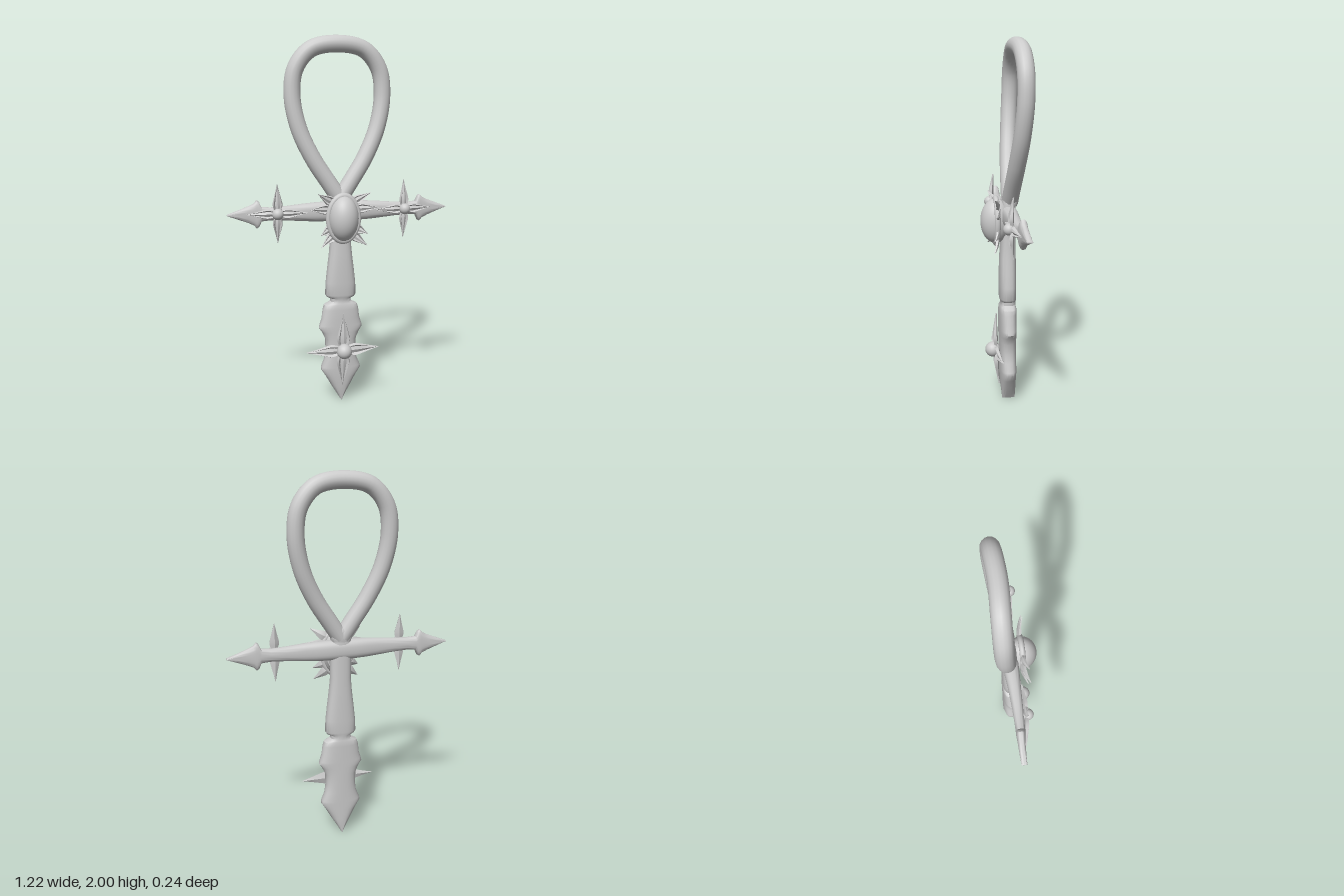
import * as THREE from 'three';
import { toCreasedNormals } from 'three/addons/utils/BufferGeometryUtils.js';

const material = new THREE.MeshStandardMaterial({ color: 0xcccccc });

function add(parent, geometry, name) {
  const mesh = new THREE.Mesh(geometry, material);
  mesh.name = name;
  parent.add(mesh);
  return mesh;
}

// Skin over equal rings of points (counter-clockwise seen from the far end), with capped ends
function loft(rings, crease) {
  const n = rings[0].length, pos = [], idx = [];
  rings.forEach(r => r.forEach(p => pos.push(...p)));
  for (let j = 0; j < rings.length - 1; j++) {
    for (let i = 0; i < n; i++) {
      const a = j * n + i, b = j * n + (i + 1) % n;
      idx.push(a, b, b + n, a, b + n, a + n);
    }
  }
  [0, rings.length - 1].forEach(j => {
    const c = pos.length / 3;
    pos.push(...[0, 1, 2].map(k => rings[j].reduce((s, p) => s + p[k], 0) / n));
    for (let i = 0; i < n; i++) {
      const a = j * n + i, b = j * n + (i + 1) % n;
      if (j) idx.push(a, b, c); else idx.push(b, a, c);
    }
  });
  const g = new THREE.BufferGeometry();
  g.setAttribute('position', new THREE.Float32BufferAttribute(pos, 3));
  g.setIndex(idx);
  return toCreasedNormals(g, crease);
}

// Rounded-box bar along y; rows are [y, half width, back z, front z]
function bar(rows) {
  const power = v => Math.sign(v) * Math.pow(Math.abs(v), 0.75);
  return loft(rows.map(([y, w, back, front]) => Array.from({ length: 28 }, (_, i) => {
    const a = i / 28 * Math.PI * 2;
    return [w * power(Math.cos(a)), y, (back + front) / 2 - (front - back) / 2 * power(Math.sin(a))];
  })), 0.75);
}

// Pointed leaf along +y with raised rims, grooves and a middle ridge
function blade(length, width, depth, bend) {
  const section = [[0, -0.5], [-1, 0.1], [-0.8, 1], [-0.5, 0.3], [0, 0.7], [0.5, 0.3], [0.8, 1], [1, 0.1]];
  const rows = [[0, 0.5], [0.12, 0.7], [0.25, 0.95], [0.35, 1], [0.5, 0.78], [0.7, 0.45], [0.87, 0.2], [1, 0.02]];
  return loft(rows.map(([t, s]) => section.map(([x, z]) =>
    [x * s * width, t * length, z * depth * (0.25 + 0.75 * s) + bend * t * t])), 0.5);
}

// Four blades round a bead
function star(name, vertical, horizontal, width, bead) {
  const g = new THREE.Group();
  g.name = name;
  for (let i = 0; i < 4; i++) {
    add(g, blade(i % 2 ? horizontal : vertical, width, 0.018, -0.008), 'starBlade').rotation.z = i * Math.PI / 2;
  }
  add(g, new THREE.SphereGeometry(bead, 20, 14), 'starBead').position.z = bead * 0.5;
  return g;
}

export function createModel() {
  const model = new THREE.Group();
  model.name = 'loopedCross';

  // Shaft with a narrow collar and a pointed foot
  add(model, bar([
    [0.005, 0.004, -0.068, 0.004], [0.04, 0.025, -0.069, 0.008], [0.09, 0.055, -0.07, 0.014],
    [0.14, 0.083, -0.07, 0.018], [0.185, 0.112, -0.07, 0.02], [0.2, 0.11, -0.07, 0.02],
    [0.25, 0.09, -0.07, 0.021], [0.3, 0.084, -0.07, 0.021], [0.36, 0.087, -0.07, 0.021],
    [0.4, 0.105, -0.07, 0.022], [0.425, 0.122, -0.07, 0.022], [0.44, 0.119, -0.07, 0.022],
    [0.48, 0.106, -0.07, 0.022], [0.53, 0.1, -0.07, 0.022], [0.555, 0.092, -0.07, 0.02],
    [0.565, 0.072, -0.068, 0.017], [0.574, 0.056, -0.067, 0.015], [0.592, 0.056, -0.067, 0.015],
    [0.6, 0.076, -0.068, 0.018], [0.612, 0.085, -0.069, 0.02], [0.68, 0.082, -0.069, 0.021],
    [0.76, 0.073, -0.069, 0.021], [0.84, 0.063, -0.068, 0.019], [0.92, 0.056, -0.067, 0.014],
    [1.02, 0.057, -0.066, 0.012], [1.12, 0.056, -0.065, 0.012], [1.16, 0.05, -0.06, 0.01]]), 'shaft');

  // Crossbar with barbed arrow ends, mirrored about the middle
  const half = [[0, 0.053, -0.07, 0.015], [0.08, 0.053, -0.069, 0.015], [0.14, 0.051, -0.064, 0.013],
    [0.2, 0.047, -0.058, 0.01], [0.3, 0.038, -0.052, 0.006], [0.38, 0.034, -0.05, 0.002],
    [0.43, 0.038, -0.05, 0], [0.443, 0.068, -0.05, -0.002], [0.455, 0.075, -0.05, -0.004],
    [0.47, 0.058, -0.049, -0.006], [0.5, 0.044, -0.048, -0.009], [0.55, 0.025, -0.047, -0.012],
    [0.609, 0.003, -0.045, -0.015]];
  const mirrored = half.slice(1).reverse().map(([y, ...rest]) => [-y, ...rest]);
  const crossbar = add(model, bar([...mirrored, ...half]), 'crossbar');
  crossbar.rotation.z = -Math.PI / 2;
  crossbar.position.y = 1.075;

  // Teardrop loop, leaning slightly back
  const side = [[0.055, 1.22, -0.04], [0.145, 1.36, -0.05], [0.217, 1.52, -0.064],
    [0.248, 1.69, -0.075], [0.228, 1.83, -0.077], [0.145, 1.928, -0.074]];
  const points = [[0.005, 1.145, -0.036], ...side, [0, 1.956, -0.068],
    ...side.slice().reverse().map(([x, y, z]) => [-x, y, z]), [-0.005, 1.145, -0.036]];
  const path = new THREE.CatmullRomCurve3(points.map(p => new THREE.Vector3(...p)));
  add(model, new THREE.TubeGeometry(path, 96, 0.045, 16), 'loop');

  // Block joining the loop to the crossbar
  add(model, bar([[1.125, 0.05, -0.074, -0.01], [1.15, 0.06, -0.077, -0.005],
    [1.185, 0.052, -0.077, -0.008], [1.2, 0.035, -0.07, -0.012]]), 'loopYoke');

  // Oval domed gem in a raised rim
  const gem = new THREE.Group();
  gem.name = 'gemSetting';
  gem.position.set(0, 1.043, 0.04);
  model.add(gem);
  add(gem, new THREE.SphereGeometry(1, 36, 24), 'gem').scale.set(0.081, 0.122, 0.082);
  add(gem, new THREE.TorusGeometry(0.084, 0.013, 12, 48), 'gemRim').scale.set(1, 1.43, 1.2);
  const seat = add(gem, new THREE.CylinderGeometry(0.085, 0.07, 0.05, 36), 'gemSeat');
  seat.rotation.x = Math.PI / 2;
  seat.scale.z = 1.42;
  seat.position.z = -0.025;

  // Thorns fanned around the gem: [root x, root y, tip x, tip y], relative to its centre
  const thorns = [[0.045, 0.08, 0.145, 0.137], [0.06, 0.05, 0.19, 0.055],
    [0.06, -0.05, 0.13, -0.085], [0.04, -0.08, 0.128, -0.15]];
  for (const s of [1, -1]) {
    for (const [x0, y0, x1, y1] of thorns) {
      const dx = s * (x1 - x0), dy = y1 - y0;
      const thorn = add(gem, blade(Math.hypot(dx, dy), 0.026, 0.014, 0.03), 'gemThorn');
      thorn.position.set(s * x0, y0, -0.008);
      thorn.rotation.z = Math.atan2(-dx, dy);
    }
  }

  // Star ornaments on both arms and on the foot
  for (const s of [1, -1]) {
    const armStar = star('armStar', 0.158, 0.162, 0.026, 0.03);
    armStar.position.set(s * 0.35, 1.078, 0.01);
    armStar.rotation.y = s * 0.07;
    model.add(armStar);
  }
  const footStar = star('footStar', 0.21, 0.205, 0.036, 0.042);
  footStar.position.set(0, 0.307, 0.036);
  footStar.rotation.x = 0.04;
  model.add(footStar);

  return model;
}
